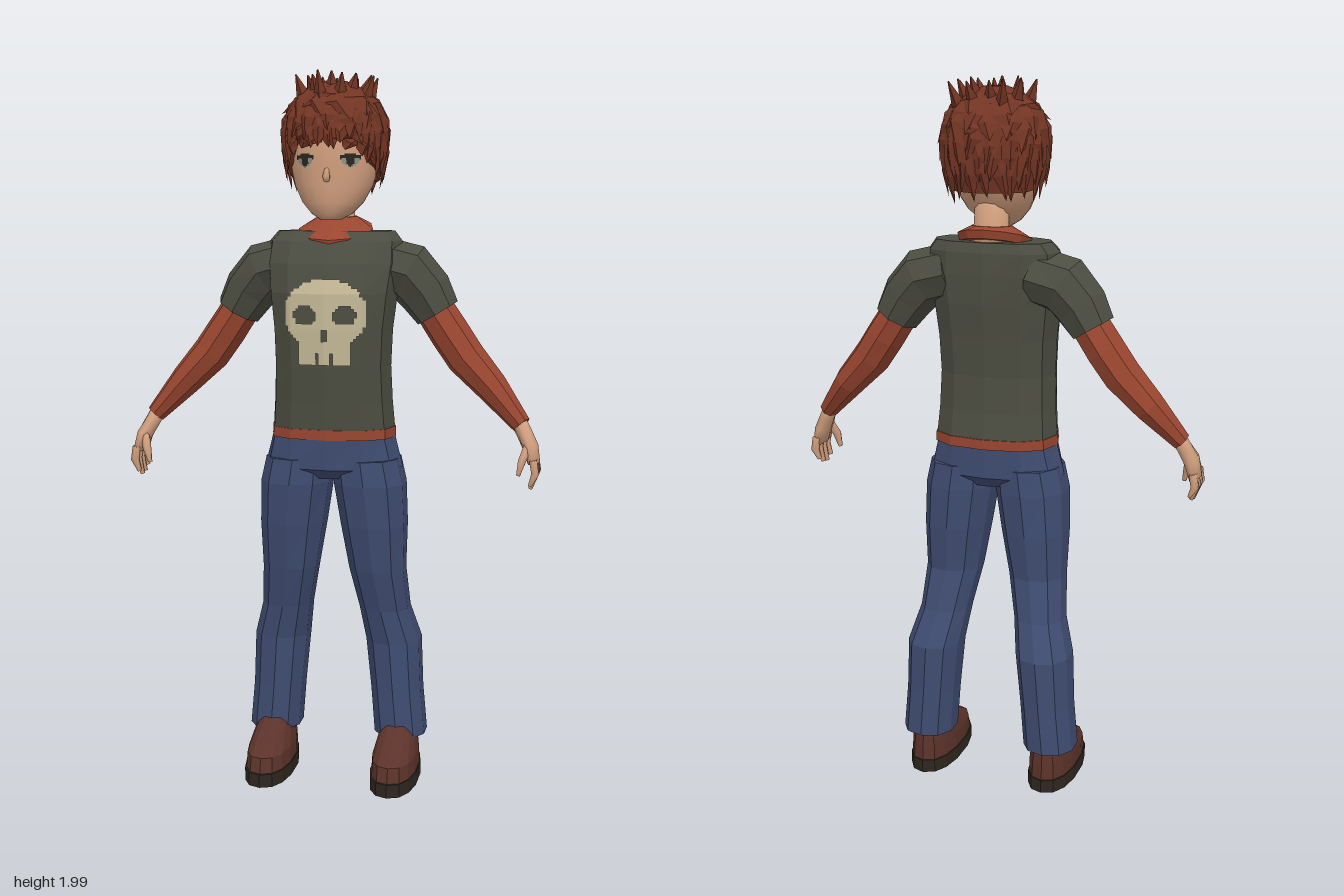
import * as THREE from 'three';

const mat = (name, color, double) => {
  const m = new THREE.MeshStandardMaterial({ color });
  m.name = name;
  if (double) m.side = THREE.DoubleSide;
  return m;
};
const M = {
  skin: mat('skin', 0xd2a07f), hair: mat('hair brown', 0x733524, true), shirt: mat('shirt olive', 0x4c4d41),
  red: mat('undershirt red', 0x9a4630), jeans: mat('denim blue', 0x404d72), shoe: mat('shoe brown', 0x5c332a),
  sole: mat('sole dark', 0x2f271f), bone: mat('print cream', 0xc4b896, true),
  dark: mat('eye dark', 0x2c2722, true), iris: mat('eye grey', 0x8b978c, true),
};
let seed = 7;
const rand = () => (seed = (seed * 16807) % 2147483647) / 2147483647;
const V = (x, y, z) => new THREE.Vector3(x, y, z);

function add(parent, name, geometry, material) {
  const mesh = new THREE.Mesh(geometry, material);
  mesh.name = name;
  parent.add(mesh);
  return mesh;
}

// Skin over a stack of equal-sized point rings, closed at both ends
function loft(rings, smooth = false) {
  const n = rings[0].length, pts = rings.flat(), idx = [];
  for (let i = 0; i < rings.length - 1; i++) {
    for (let j = 0; j < n; j++) {
      const k = (j + 1) % n, a = i * n + j, b = i * n + k, c = b + n, d = a + n;
      idx.push(a, b, c, a, c, d);
    }
  }
  const centre = r => r.reduce((s, p) => s.add(p), V(0, 0, 0)).divideScalar(n);
  const c0 = pts.length, top = (rings.length - 1) * n;
  const all = [...pts, centre(rings[0]), centre(rings[rings.length - 1])];
  for (let j = 0; j < n; j++) {
    const k = (j + 1) % n;
    idx.push(c0, k, j, c0 + 1, top + j, top + k);
  }
  let g = new THREE.BufferGeometry().setFromPoints(all);
  g.setIndex(idx);
  if (!smooth) g = g.toNonIndexed();
  g.computeVertexNormals();
  return g;
}

// Level sections, bottom to top: [y, centre x, half width, front z, back z, forward tilt]
function stack(rows, n, power = 1, smooth = false) {
  const bend = t => Math.sign(t) * Math.abs(t) ** power;
  return loft(rows.map(([y, cx, rx, zf, zb, tilt = 0]) => Array.from({ length: n }, (_, j) => {
    const a = j / n * Math.PI * 2, dz = bend(Math.cos(a)) * (zf - zb) / 2;
    return V(cx + bend(Math.sin(a)) * rx, y - tilt * dz, (zf + zb) / 2 + dz);
  })), smooth);
}

// Sections square to a path: [x, y, z, half thickness, half depth in z]
function limb(rows, n, s = 1, smooth = false) {
  const c = rows.map(r => V(r[0] * s, r[1], r[2]));
  return loft(rows.map((r, i) => {
    const d = c[Math.min(i + 1, c.length - 1)].clone().sub(c[Math.max(i - 1, 0)]).normalize();
    const v = d.clone().cross(V(0, 0, 1)).normalize(), u = v.clone().cross(d);
    return Array.from({ length: n }, (_, j) => {
      const a = j / n * Math.PI * 2;
      return c[i].clone().addScaledVector(u, Math.cos(a) * r[4]).addScaledVector(v, Math.sin(a) * r[3]);
    });
  }), smooth);
}

// Thin printed patch of small squares laid on the front of a mesh
function decal(target, [x0, x1, y0, y1], cell, lift, test) {
  const ray = new THREE.Raycaster(), pos = [];
  const hit = (x, y) => {
    ray.set(V(x, y, 1), V(0, 0, -1));
    const h = ray.intersectObject(target)[0];
    return h && [x, y, h.point.z + lift];
  };
  const nx = Math.round((x1 - x0) / cell), ny = Math.round((y1 - y0) / cell);
  for (let i = 0; i < nx; i++) for (let j = 0; j < ny; j++) {
    const x = x0 + i * cell, y = y0 + j * cell;
    if (!test(x + cell / 2, y + cell / 2)) continue;
    const q = [hit(x, y), hit(x + cell, y), hit(x + cell, y + cell), hit(x, y + cell)];
    if (q.every(Boolean)) [0, 1, 2, 0, 2, 3].forEach(k => pos.push(...q[k]));
  }
  const g = new THREE.BufferGeometry();
  g.setAttribute('position', new THREE.Float32BufferAttribute(pos, 3));
  g.computeVertexNormals();
  return g;
}
const inOval = (x, y, cx, cy, rx, ry) => ((x - cx) / rx) ** 2 + ((y - cy) / ry) ** 2 < 1;

// Point on the hair volume at azimuth a (0 = front) and height y
function hairPoint(a, y, out = 1) {
  const k = (y - 1.83) / (y > 1.83 ? 0.142 : 0.27);
  const r = Math.sqrt(Math.max(0, 1 - k * k)) * out;
  return V(Math.sin(a) * r * 0.139, y + (out - 1) * 0.06, Math.cos(a) * r * 0.142 - 0.014);
}
function hairline(a) {
  const t = Math.abs(Math.atan2(Math.sin(a), Math.cos(a)));
  return 1.81 - 0.09 * THREE.MathUtils.smoothstep(t, 0.6, 1.2) - 0.035 * THREE.MathUtils.smoothstep(t, 1.2, 2);
}

function buildHair(parent) {
  const cap = [];
  for (let i = 0; i <= 7; i++) {
    cap.push(Array.from({ length: 24 }, (_, j) => {
      const a = j / 24 * Math.PI * 2, lo = hairline(a) + 0.015;
      return hairPoint(a, lo + (1.968 - lo) * Math.sin(i / 7 * Math.PI / 2));
    }));
  }
  add(parent, 'hairCap', loft(cap), M.hair);
  // Overlapping pointed locks in rows from crown to fringe
  const tri = [];
  [[1.968, 7], [1.95, 11], [1.925, 15], [1.89, 19], [1.85, 22], [1.81, 22]].forEach(([y0, n], row) => {
    for (let j = 0; j < n; j++) {
      const a = (j + (row % 2) / 2 + (rand() - 0.5) * 0.5) / n * Math.PI * 2, w = Math.PI / n * 1.15;
      const low = hairline(a) - rand() * 0.035;
      const y1 = Math.max(low, y0 - 0.07 - row * 0.012 - rand() * 0.04);
      const ym = y0 + (y1 - y0) * 0.5, lean = (rand() - 0.5) * w * 1.6;
      const m = hairPoint(a, ym, 1.09);
      const rim = [hairPoint(a - w, y0, 1.02), hairPoint(a - w, ym, 1.02), hairPoint(a + lean, y1, 1.06 + rand() * 0.06),
        hairPoint(a + w, ym, 1.02), hairPoint(a + w, y0, 1.02)];
      rim.forEach((p, k) => tri.push(m, p, rim[(k + 1) % 5]));
    }
  });
  const g = new THREE.BufferGeometry().setFromPoints(tri);
  g.computeVertexNormals();
  add(parent, 'hairLocks', g, M.hair);
  // Short tufts standing up on the crown
  for (let j = 0; j < 15; j++) {
    const a = j * 2.4, b = hairPoint(a, 1.963 - j * 0.0022), t = b.clone();
    t.x *= 1.3; t.z = t.z * 1.25 - 0.006;
    t.y = 1.975 + rand() * 0.022;
    add(parent, 'hairTuft', limb([[b.x, b.y - 0.02, b.z, 0.022, 0.022], [t.x, t.y, t.z, 0.002, 0.002]], 4), M.hair);
  }
}

function buildHead(parent) {
  add(parent, 'neck', stack([[1.55, 0, 0.062, 0.015, -0.105], [1.59, 0, 0.05, 0, -0.095], [1.67, 0, 0.046, 0.01, -0.09]], 12, 1, true), M.skin);
  const head = add(parent, 'head', stack([
    [1.597, 0, 0.028, 0.075, 0.01], [1.613, 0, 0.055, 0.092, -0.03], [1.645, 0, 0.085, 0.1, -0.07],
    [1.69, 0, 0.108, 0.105, -0.105], [1.74, 0, 0.121, 0.104, -0.125], [1.8, 0, 0.126, 0.108, -0.135],
    [1.87, 0, 0.115, 0.095, -0.125], [1.93, 0, 0.07, 0.05, -0.08]], 20, 1, true), M.skin);
  add(parent, 'nose', limb([[0, 1.735, 0.1, 0.006, 0.004], [0, 1.712, 0.107, 0.011, 0.01], [0, 1.7, 0.102, 0.008, 0.005]], 6, 1, true), M.skin);
  for (const s of [-1, 1]) {
    const cx = s * 0.062, box = [cx - 0.03, cx + 0.03, 1.725, 1.785];
    const iris = (x, y) => inOval(x, y, cx, 1.754, 0.01, 0.016);
    const lid = (x, y) => Math.abs(x - cx) < 0.026 && Math.abs(y - 1.769 + (x - cx) ** 2 * 12) < 0.005;
    add(parent, 'eye', decal(head, box, 0.004, 0.002, (x, y) => inOval(x, y, cx, 1.754, 0.022, 0.016) && !iris(x, y) && !lid(x, y)), M.iris);
    add(parent, 'pupilAndLashes', decal(head, box, 0.004, 0.003, (x, y) => iris(x, y) || lid(x, y)), M.dark);
  }
  buildHair(parent);
}

function buildTorso(parent) {
  const shirt = add(parent, 'shirt', stack([
    [1.025, 0, 0.174, 0.126, -0.117], [1.1, 0, 0.168, 0.13, -0.107], [1.2, 0, 0.164, 0.138, -0.102],
    [1.3, 0, 0.168, 0.142, -0.11], [1.4, 0, 0.18, 0.14, -0.12], [1.48, 0, 0.19, 0.112, -0.123],
    [1.54, 0, 0.187, 0.077, -0.12], [1.567, 0, 0.165, 0.05, -0.11]], 12, 0.8), M.shirt);
  add(parent, 'hem', stack([[1.0, 0, 0.177, 0.128, -0.12], [1.028, 0, 0.176, 0.128, -0.12]], 12, 0.8), M.red);
  add(parent, 'collar', stack([[1.55, 0, 0.1, 0.08, -0.11, 0.3], [1.572, 0, 0.105, 0.083, -0.115, 0.3],
    [1.606, 0, 0.056, 0.008, -0.1, 0.05]], 12), M.red);
  // Chest print with eye sockets, nose and tooth gaps left open
  const print = (x, y) => {
    const solid = inOval(x, y, 0, 1.345, 0.116, 0.098) || (Math.abs(x) < 0.07 && y > 1.205 && y < 1.3);
    const hole = inOval(Math.abs(x), y, 0.055, 1.342, 0.031, 0.026) || (Math.abs(x) < 0.01 && y > 1.275 && y < 1.305)
      || (y < 1.238 && Math.abs(Math.abs(x) - 0.02) < 0.004);
    return solid && !hole;
  };
  add(parent, 'chestPrint', decal(shirt, [-0.12, 0.12, 1.2, 1.448], 0.008, 0.004, print), M.bone);
}

function buildArm(parent, s) {
  add(parent, 'shortSleeve', limb([[0.12, 1.475, -0.025, 0.078, 0.095], [0.205, 1.452, -0.03, 0.083, 0.088],
    [0.25, 1.4, -0.033, 0.076, 0.078], [0.285, 1.342, -0.035, 0.064, 0.071]], 8, s), M.shirt);
  add(parent, 'longSleeve', limb([[0.26, 1.375, -0.035, 0.054, 0.064], [0.32, 1.285, -0.034, 0.056, 0.066],
    [0.365, 1.22, -0.03, 0.055, 0.062], [0.44, 1.14, -0.022, 0.045, 0.056], [0.525, 1.042, 0.005, 0.027, 0.031]], 8, s), M.red);
  add(parent, 'palm', limb([[0.515, 1.055, 0.004, 0.022, 0.025], [0.534, 1.02, 0.012, 0.022, 0.027],
    [0.552, 0.985, 0.025, 0.022, 0.041], [0.563, 0.94, 0.031, 0.017, 0.048]], 8, s, true), M.skin);
  for (let i = 0; i < 4; i++) {
    const z = -0.007 + i * 0.025, tip = [0.89, 0.876, 0.872, 0.884][i];
    add(parent, 'finger', limb([[0.563, 0.955, z, 0.012, 0.013], [0.569, 0.918, z, 0.012, 0.012],
      [0.555, tip, z, 0.006, 0.007]], 6, s, true), M.skin);
  }
  add(parent, 'thumb', limb([[0.546, 0.99, 0.045, 0.013, 0.013], [0.532, 0.95, 0.068, 0.012, 0.012],
    [0.523, 0.912, 0.07, 0.006, 0.007]], 6, s, true), M.skin);
}

function buildLeg(parent, s) {
  // Height, inner x, outer x, front z, back z
  const rows = [[0.12, 0.11, 0.262, 0.022, -0.148], [0.25, 0.1, 0.25, 0.024, -0.15], [0.4, 0.085, 0.244, 0.03, -0.154],
    [0.5, 0.07, 0.215, 0.047, -0.115], [0.62, 0.045, 0.206, 0.08, -0.09], [0.75, 0.022, 0.21, 0.105, -0.105],
    [0.87, 0.003, 0.206, 0.12, -0.11], [0.94, 0.0, 0.19, 0.118, -0.108]];
  add(parent, 'trouserLeg', stack(rows.map(([y, a, b, f, k]) => [y, s * (a + b) / 2, (b - a) / 2, f, k]), 10, 0.9), M.jeans);
  const cx = s * 0.183;
  add(parent, 'sole', stack([[0, cx, 0.068, 0.17, -0.145], [0.038, cx, 0.068, 0.17, -0.145]], 14, 0.85), M.sole);
  add(parent, 'shoe', stack([[0.036, cx, 0.065, 0.163, -0.141], [0.08, cx, 0.063, 0.152, -0.139], [0.108, cx, 0.057, 0.1, -0.136],
    [0.138, cx, 0.05, 0.04, -0.13], [0.165, cx, 0.044, 0.012, -0.12]], 14, 0.85), M.shoe);
}

export function createModel() {
  const model = new THREE.Group();
  model.name = 'figure';
  const part = (name, build, ...args) => {
    const g = new THREE.Group();
    g.name = name;
    build(g, ...args);
    model.add(g);
  };
  part('headGroup', buildHead);
  part('torsoGroup', buildTorso);
  part('hips', g => add(g, 'trouserTop', stack([[0.885, 0, 0.11, 0.085, -0.085], [0.915, 0, 0.197, 0.12, -0.11],
    [1.005, 0, 0.174, 0.125, -0.115]], 12, 0.85), M.jeans));
  for (const [side, s] of [['left', 1], ['right', -1]]) {
    part(side + 'Arm', buildArm, s);
    part(side + 'Leg', buildLeg, s);
  }
  return model;
}
